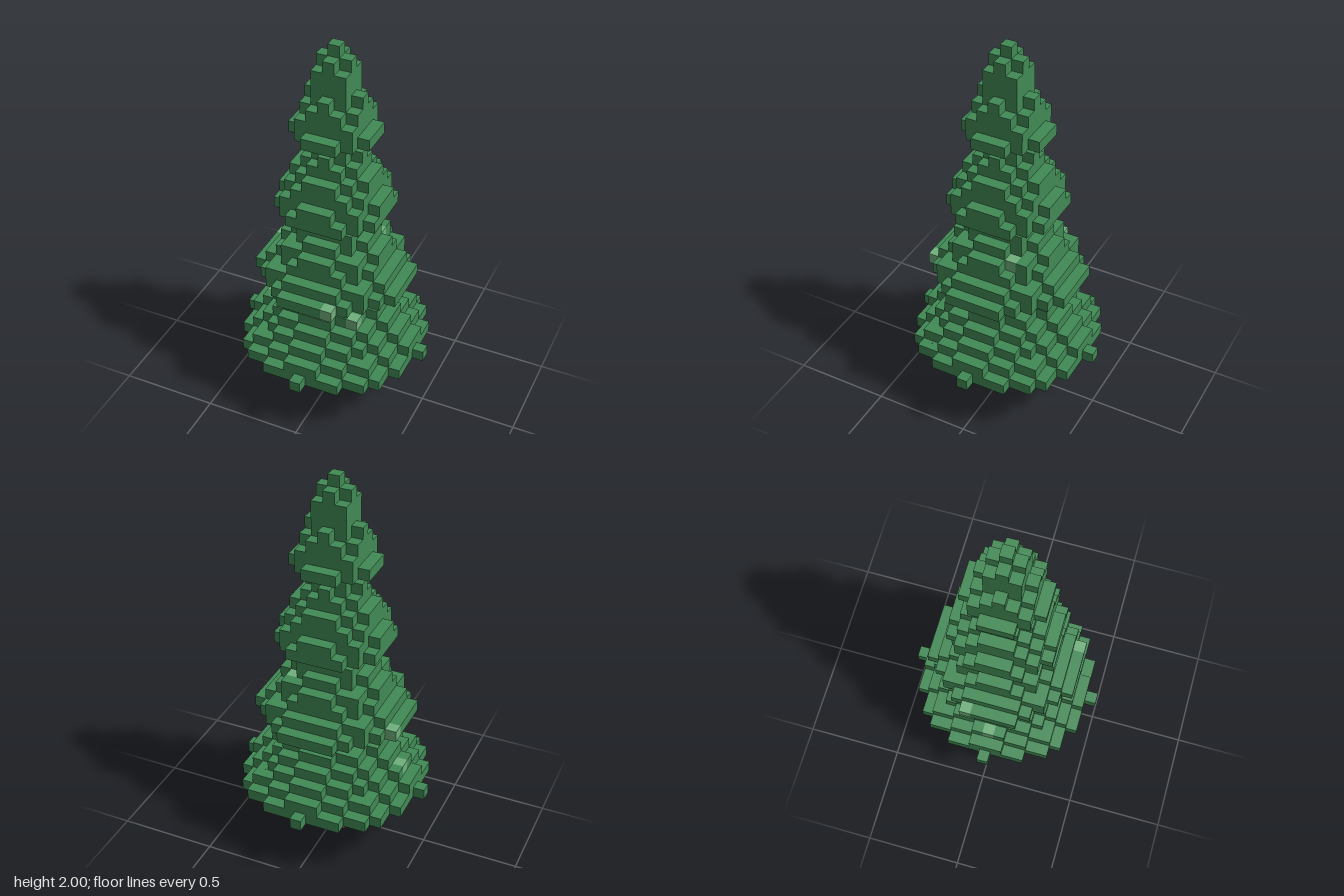
import * as THREE from 'three';
import { mergeGeometries } from 'three/addons/utils/BufferGeometryUtils.js';

const UNIT = 2 / 34; // cube size: the tree is 34 cubes tall
const TRUNK_LAYERS = 5;
const TIER_LAYERS = 7;
const TIER_RADII = [8, 6.4, 4.8, 3.2]; // base radius of each tier, in cubes

const material = (name, color) => {
  const m = new THREE.MeshStandardMaterial({ color });
  m.name = name;
  return m;
};

const DIRECTIONS = [
  [1, 0, 0], [-1, 0, 0], [0, 1, 0], [0, -1, 0], [0, 0, 1], [0, 0, -1],
].map((d) => new THREE.Vector3(...d));

// One square cube side for each direction
const SIDES = DIRECTIONS.map((d) =>
  new THREE.PlaneGeometry(UNIT, UNIT).lookAt(d).translate(d.x * UNIT / 2, d.y * UNIT / 2, d.z * UNIT / 2));

// Radius of a layer: each tier tapers upward, and a single cube tops the tree
function layerRadius(layer) {
  const i = layer - TRUNK_LAYERS;
  if (i < 0) return -1;
  const tier = Math.floor(i / TIER_LAYERS);
  if (tier < TIER_RADII.length) return TIER_RADII[tier] * (1 - 0.78 * (i % TIER_LAYERS) / TIER_LAYERS);
  return i === TIER_RADII.length * TIER_LAYERS ? 0 : -1;
}

function isFilled(x, y, z) {
  const r = layerRadius(y);
  return r >= 0 && x * x + z * z <= r * r;
}

// Lighter cubes scattered in the foliage: x, layer, z
const LIGHT_CUBES = new Set(['2,12,6', '-6,12,-2', '3,15,-2', '3,9,3', '-6,7,0']);

// Exposed cube sides of the layers from first to last, split by colour
function foliage(name, first, last, leafGreen, lightGreen) {
  const dark = [];
  const light = [];
  for (let y = first; y <= last; y++) {
    const n = Math.floor(layerRadius(y));
    for (let x = -n; x <= n; x++) {
      for (let z = -n; z <= n; z++) {
        if (!isFilled(x, y, z)) continue;
        const list = LIGHT_CUBES.has(`${x},${y},${z}`) ? light : dark;
        DIRECTIONS.forEach((d, i) => {
          if (isFilled(x + d.x, y + d.y, z + d.z)) return;
          list.push(SIDES[i].clone().translate(x * UNIT, (y + 0.5) * UNIT, z * UNIT));
        });
      }
    }
  }
  const group = new THREE.Group();
  group.name = name;
  const add = (list, mat, partName) => {
    if (!list.length) return;
    const mesh = new THREE.Mesh(mergeGeometries(list), mat);
    mesh.name = partName;
    group.add(mesh);
  };
  add(dark, leafGreen, 'needles');
  add(light, lightGreen, 'lightNeedles');
  return group;
}

export function createModel() {
  const tree = new THREE.Group();
  tree.name = 'blockyFirTree';
  const bark = material('barkBrown', 0x7f5640);
  const leafGreen = material('leafGreen', 0x418a55);
  const lightGreen = material('lightGreen', 0x6fb07c);

  // Square trunk
  const height = TRUNK_LAYERS * UNIT;
  const trunk = new THREE.Mesh(new THREE.BoxGeometry(3 * UNIT, height, 3 * UNIT), bark);
  trunk.position.y = height / 2;
  trunk.name = 'trunk';
  tree.add(trunk);

  // Four tapering tiers of branches
  TIER_RADII.forEach((_, t) => {
    const first = TRUNK_LAYERS + t * TIER_LAYERS;
    tree.add(foliage(`branchTier${t + 1}`, first, first + TIER_LAYERS - 1, leafGreen, lightGreen));
  });

  // Tip
  const top = TRUNK_LAYERS + TIER_RADII.length * TIER_LAYERS;
  tree.add(foliage('treeTip', top, top, leafGreen, lightGreen));
  return tree;
}
